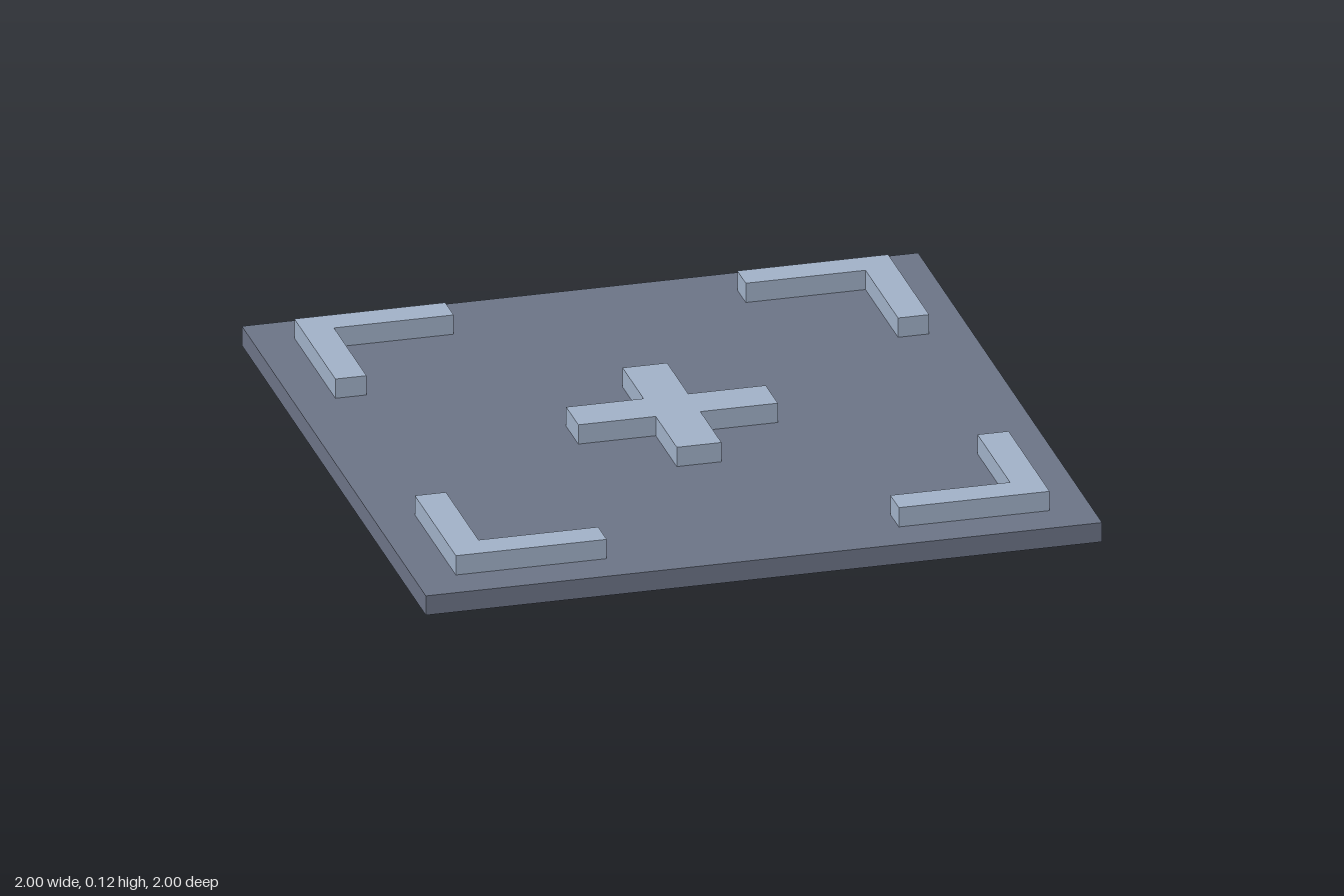
import * as THREE from 'three';

const BASE_H = 0.06;   // slab thickness
const MARK_H = 0.06;   // height of the raised markings

// Extrudes a plan outline upward from the top of the slab.
function raised(points, material, name) {
  const shape = new THREE.Shape(points.map(([x, y]) => new THREE.Vector2(x, y)));
  const geometry = new THREE.ExtrudeGeometry(shape, { depth: MARK_H, bevelEnabled: false });
  geometry.rotateX(-Math.PI / 2);
  const mesh = new THREE.Mesh(geometry, material);
  mesh.position.y = BASE_H;
  mesh.name = name;
  return mesh;
}

export function createModel() {
  const slate = new THREE.MeshStandardMaterial({ color: 0x6c7486 });
  slate.name = 'slate';
  const paleBlue = new THREE.MeshStandardMaterial({ color: 0xa1b1c8 });
  paleBlue.name = 'paleBlue';

  const model = new THREE.Group();
  model.name = 'markedTile';

  // Square base slab
  const base = new THREE.Mesh(new THREE.BoxGeometry(2, BASE_H, 2), slate);
  base.position.y = BASE_H / 2;
  base.name = 'baseSlab';
  model.add(base);

  // Central cross
  const a = 0.295, w = 0.066;
  model.add(raised([
    [-w, -a], [w, -a], [w, -w], [a, -w], [a, w], [w, w],
    [w, a], [-w, a], [-w, w], [-a, w], [-a, -w], [-w, -w],
  ], paleBlue, 'centreCross'));

  // Four corner brackets, one outline turned by quarter turns
  const out = 0.878, inn = 0.786, end = 0.432;
  const names = ['backLeftBracket', 'backRightBracket', 'frontRightBracket', 'frontLeftBracket'];
  names.forEach((name, i) => {
    const bracket = raised([
      [end, inn], [inn, inn], [inn, end], [out, end], [out, out], [end, out],
    ], paleBlue, name);
    bracket.rotation.y = i * Math.PI / 2;
    model.add(bracket);
  });

  return model;
}
